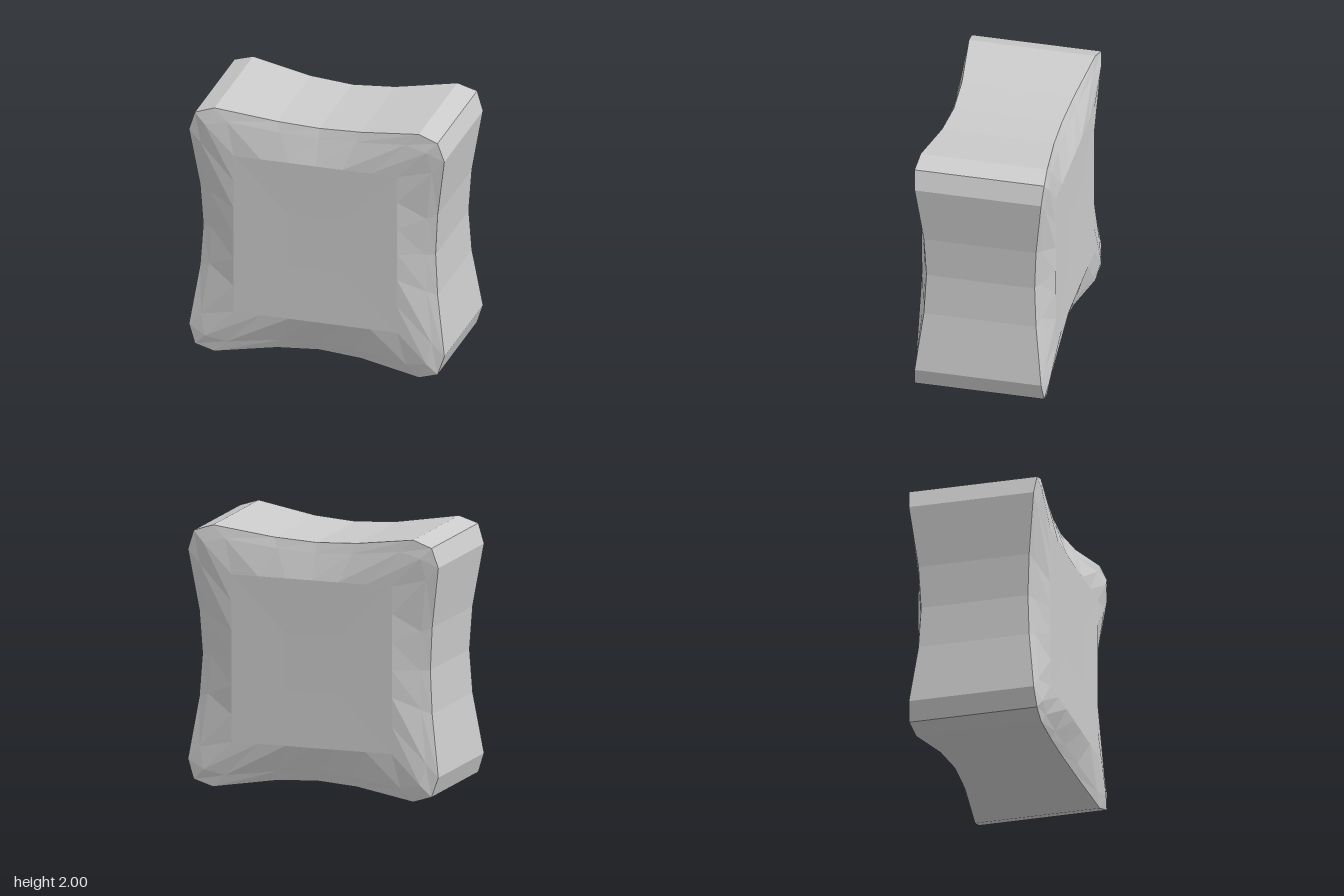
import * as THREE from 'three';

// One side of the outline: [rim along, rim out, rim depth, panel along, panel out]
const SIDE = [
  [-0.80, 1.00, 0.485, -0.43, 0.64],
  [-0.33, 0.93, 0.43, -0.21, 0.64],
  [0.00, 0.91, 0.415, 0.00, 0.64],
  [0.33, 0.93, 0.43, 0.21, 0.64],
  [0.80, 1.00, 0.485, 0.43, 0.64],
  [0.95, 0.95, 0.497, 0.64, 0.64], // corner
];
const FACE_Z = 0.515;
const DISH = 0.006;

// Builds a closed ring by turning one side four times about z
function ring(pointOnSide) {
  const points = [];
  for (let k = 0; k < 4; k++) {
    const c = [1, 0, -1, 0][k], s = [0, 1, 0, -1][k];
    SIDE.forEach((p, i) => {
      const [out, along, z] = pointOnSide(p, i === 5);
      points.push([out * c - along * s, out * s + along * c + 1, z]);
    });
  }
  return points;
}

// Rings of the front half, from the outer rim to the middle of the panel
function halfRings(sign) {
  const mix = (a, b, t) => a + (b - a) * t;
  return [
    ring((p) => [p[1], p[0], sign * p[2]]),
    ring((p, corner) => [
      mix(p[4], p[1], 0.73), mix(p[3], p[0], 0.73),
      sign * (corner ? FACE_Z : mix(FACE_Z, p[2], 0.73)),
    ]),
    ring((p) => [p[4], p[3], sign * FACE_Z]),
    ring((p) => [p[4] / 3, p[3] / 3, sign * (FACE_Z - DISH)]),
    ring(() => [0, 0, sign * (FACE_Z - DISH)]),
  ];
}

export function createModel() {
  const group = new THREE.Group();
  group.name = 'pinchedBlock';

  // Back panel, side walls and front panel as one closed skin
  const rings = [...halfRings(-1).reverse(), ...halfRings(1)];
  const n = rings[0].length;
  const positions = [];
  for (let r = 0; r < rings.length - 1; r++) {
    for (let j = 0; j < n; j++) {
      const k = (j + 1) % n;
      const a = rings[r][j], b = rings[r][k];
      const c = rings[r + 1][k], d = rings[r + 1][j];
      if (r > 0) positions.push(...a, ...b, ...c);
      else positions.push(...a, ...c, ...d);
      if (r > 0 && r < rings.length - 2) positions.push(...a, ...c, ...d);
    }
  }
  const geometry = new THREE.BufferGeometry();
  geometry.setAttribute('position', new THREE.Float32BufferAttribute(positions, 3));
  geometry.computeVertexNormals();

  const block = new THREE.Mesh(
    geometry,
    new THREE.MeshStandardMaterial({ color: 0xcccccc, flatShading: true }),
  );
  block.name = 'block';
  group.add(block);
  return group;
}
